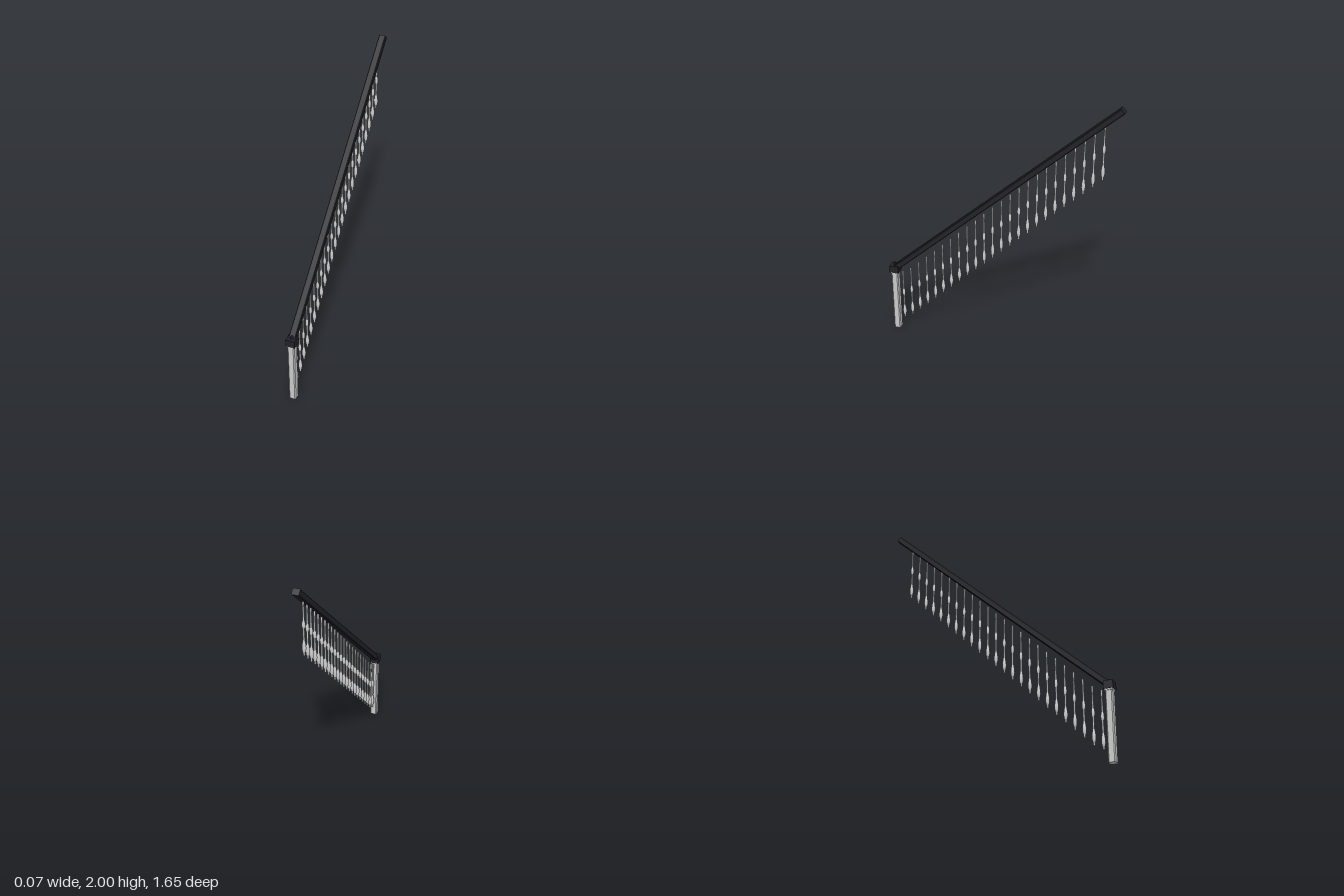
import * as THREE from 'three';

const grey = new THREE.MeshStandardMaterial({ color: 0xcccccc });
const greyFlat = new THREE.MeshStandardMaterial({ color: 0xcccccc, flatShading: true });
const dark = new THREE.MeshStandardMaterial({ color: 0x222228, flatShading: true });

// Rectangular bar with chamfered long edges, running along +z from the origin
function chamferedBar(w, h, length, c) {
  const x = w / 2, y = h / 2;
  const shape = new THREE.Shape([
    [x - c, -y], [x, -y + c], [x, y - c], [x - c, y],
    [-x + c, y], [-x, y - c], [-x, -y + c], [-x + c, -y],
  ].map(([a, b]) => new THREE.Vector2(a, b)));
  return new THREE.ExtrudeGeometry(shape, { depth: length, bevelEnabled: false });
}

function add(parent, name, geometry, material, x = 0, y = 0, z = 0) {
  const mesh = new THREE.Mesh(geometry, material);
  mesh.name = name;
  mesh.position.set(x, y, z);
  parent.add(mesh);
  return mesh;
}

export function createModel() {
  const model = new THREE.Group();
  model.name = 'stairRailing';

  // Newel post with collar, cap and small finial
  const postZ = 0.79;
  const newel = new THREE.Group();
  newel.name = 'newelPost';
  newel.position.z = postZ;
  model.add(newel);
  add(newel, 'postShaft', chamferedBar(0.05, 0.05, 0.49, 0.007).rotateX(-Math.PI / 2), greyFlat);
  add(newel, 'postCollar', new THREE.BoxGeometry(0.058, 0.012, 0.058), greyFlat, 0, 0.486, 0);
  add(newel, 'postCap', new THREE.BoxGeometry(0.066, 0.055, 0.066), dark, 0, 0.5175, 0);
  add(newel, 'postFinial', new THREE.CylinderGeometry(0.009, 0.012, 0.016, 16), dark, 0, 0.552, 0);

  // Sloping handrail from the cap to the upper end
  const start = new THREE.Vector3(0, 0.52, postZ);
  const end = new THREE.Vector3(0, 1.983, -0.808);
  const rail = add(model, 'handrail',
    chamferedBar(0.048, 0.042, start.distanceTo(end), 0.005), dark);
  rail.position.copy(start);
  rail.lookAt(end);

  // Turned baluster: two swellings on a slender shaft
  const profile = [
    [0, 0], [0.007, 0], [0.007, 0.024], [0.011, 0.027], [0.011, 0.033],
    [0.0135, 0.045], [0.0135, 0.065], [0.011, 0.085], [0.008, 0.105],
    [0.0065, 0.112], [0.0065, 0.195], [0.010, 0.2], [0.0115, 0.212],
    [0.0115, 0.228], [0.009, 0.245], [0.0065, 0.252], [0.0055, 0.36],
    [0.0065, 0.364], [0.0065, 0.402], [0, 0.402],
  ].map(([r, y]) => new THREE.Vector2(r, y));
  const balusterGeometry = new THREE.LatheGeometry(profile, 14);

  const balusters = new THREE.Group();
  balusters.name = 'balusters';
  model.add(balusters);
  for (let i = 0; i < 24; i++) {
    // The lowest baluster stands a little higher than the regular step
    const y = i === 0 ? 0.095 : 0.132 + 0.061 * (i - 1);
    add(balusters, 'baluster', balusterGeometry, grey, 0, y, 0.733 - 0.0622 * i);
  }
  return model;
}
